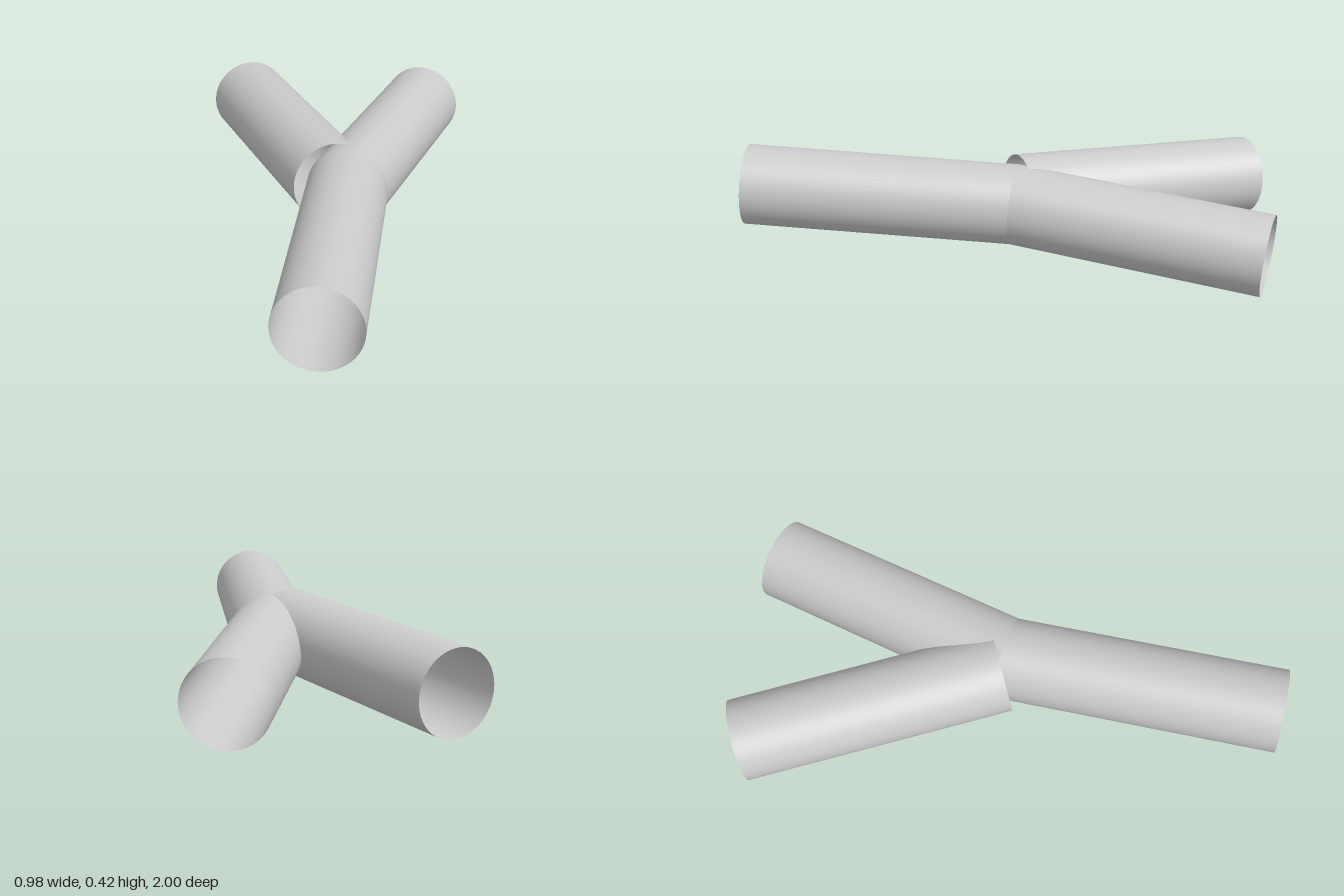
import * as THREE from 'three';

const RADIUS = 0.148;
const material = new THREE.MeshStandardMaterial({ color: 0xcccccc, side: THREE.DoubleSide });

// Open pipe from a to b; an optional mitre plane normal cuts the end at b.
function pipe(name, a, b, mitre) {
  const axis = b.clone().sub(a);
  const length = axis.length();
  axis.normalize();
  const geometry = new THREE.CylinderGeometry(RADIUS, RADIUS, length, 64, 1, true);
  geometry.translate(0, length / 2, 0);
  geometry.applyQuaternion(
    new THREE.Quaternion().setFromUnitVectors(new THREE.Vector3(0, 1, 0), axis));
  geometry.translate(a.x, a.y, a.z);

  // Slide the end ring along the axis onto the mitre plane
  if (mitre) {
    const position = geometry.attributes.position;
    const p = new THREE.Vector3();
    for (let i = 0; i < position.count; i++) {
      p.fromBufferAttribute(position, i);
      if (p.clone().sub(a).dot(axis) < length / 2) continue;
      p.addScaledVector(axis, b.clone().sub(p).dot(mitre) / axis.dot(mitre));
      position.setXYZ(i, p.x, p.y, p.z);
    }
  }
  const mesh = new THREE.Mesh(geometry, material);
  mesh.name = name;
  return mesh;
}

export function createModel() {
  const group = new THREE.Group();
  group.name = 'forkedPipe';

  const front = new THREE.Vector3(-0.337, 0.281, 0.958);
  const joint = new THREE.Vector3(-0.09, 0.226, 0);
  const back = new THREE.Vector3(0.358, 0.152, -0.825);

  // Bent main run, mitred where its two halves meet
  const mitre = joint.clone().sub(front).normalize()
    .add(back.clone().sub(joint).normalize()).normalize();
  group.add(pipe('frontPipe', front, joint, mitre));
  group.add(pipe('backPipe', back, joint, mitre));

  // Side branch running into the bend, square cut at both ends
  group.add(pipe('branchPipe',
    new THREE.Vector3(-0.347, 0.167, -0.968),
    new THREE.Vector3(-0.142, 0.243, -0.021)));

  return group;
}
